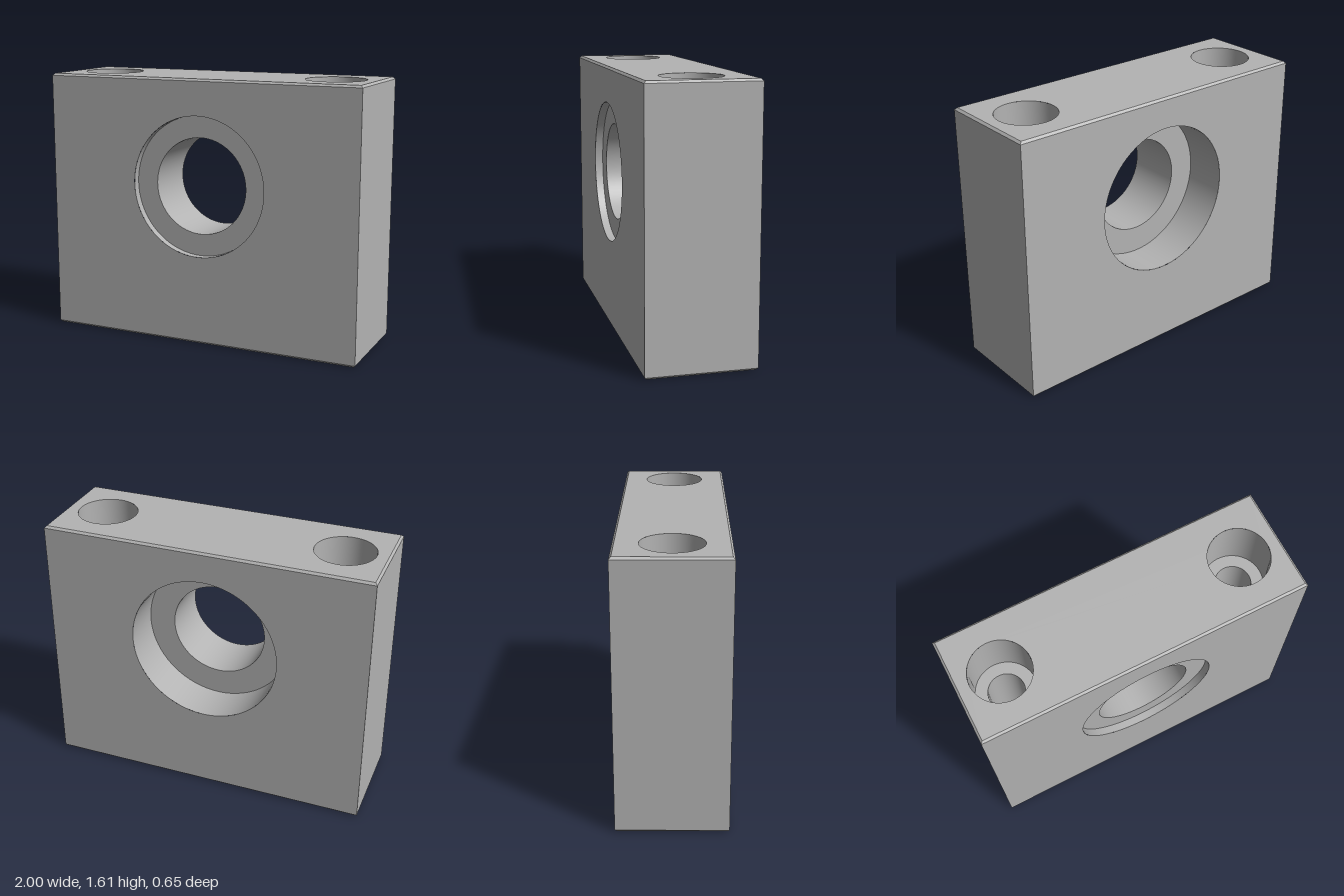
import * as THREE from 'three';

const W = 1, H = 1.613, D = 0.323;   // half width, height, half depth
const C = 0.013;                     // chamfer on top and bottom edges
const SEG = 72;
const BORE_Y = 0.97, BOLT_X = 0.74;

export function createModel() {
  const group = new THREE.Group();
  const steel = new THREE.MeshStandardMaterial({ color: 0xb3b3b3 });
  steel.name = 'grey steel';

  const add = (name, geometry, parent = group) => {
    const mesh = new THREE.Mesh(geometry, steel);
    mesh.name = name;
    parent.add(mesh);
    return mesh;
  };

  // Flat rectangular face with round holes given as [x, y, radius]
  const face = (x, y0, y1, holes) => {
    const shape = new THREE.Shape([
      new THREE.Vector2(-x, y0), new THREE.Vector2(x, y0),
      new THREE.Vector2(x, y1), new THREE.Vector2(-x, y1),
    ]);
    for (const [hx, hy, r] of holes) {
      shape.holes.push(new THREE.Path().absarc(hx, hy, r, 0, Math.PI * 2, true));
    }
    return new THREE.ShapeGeometry(shape, SEG);
  };

  // Four-sided band between two rectangles, listed from bottom to top
  const band = (inset0, y0, inset1, y1, sides) => {
    const corner = (i, inset, y) => {
      const sx = [-1, 1, 1, -1][i % 4], sz = [1, 1, -1, -1][i % 4];
      return [sx * (W - inset), y, sz * (D - inset)];
    };
    const pos = [];
    for (const i of sides) {
      const a = corner(i, inset0, y0), b = corner(i + 1, inset0, y0);
      const c = corner(i + 1, inset1, y1), d = corner(i, inset1, y1);
      pos.push(...a, ...b, ...c, ...a, ...c, ...d);
    }
    const g = new THREE.BufferGeometry();
    g.setAttribute('position', new THREE.Float32BufferAttribute(pos, 3));
    g.computeVertexNormals();
    return g;
  };

  // Stepped hole: profile runs from the top end down, so the walls face inward
  const steppedHole = (name, profile) => {
    const hole = new THREE.Group();
    hole.name = name;
    for (let i = 0; i < profile.length - 1; i++) {
      const pts = [profile[i], profile[i + 1]].map(p => new THREE.Vector2(...p));
      const isStep = profile[i][1] === profile[i + 1][1];
      add(isStep ? 'shoulder' : 'wall', new THREE.LatheGeometry(pts, SEG), hole);
    }
    group.add(hole);
    return hole;
  };

  // Block faces
  const frontR = 0.426, backR = 0.456, boreR = 0.293;
  add('frontFace', face(W, C, H - C, [[0, BORE_Y, frontR]])).position.z = D;
  const back = add('backFace', face(W, C, H - C, [[0, BORE_Y, backR]]));
  back.position.z = -D;
  back.rotation.y = Math.PI;
  add('sideFaces', band(0, C, 0, H - C, [1, 3]));

  const boltR = 0.108, headR = 0.18;
  const boltHoles = r => [[-BOLT_X, 0, r], [BOLT_X, 0, r]];
  const top = add('topFace', face(W - C, C - D, D - C, boltHoles(headR)));
  top.position.y = H;
  top.rotation.x = -Math.PI / 2;
  add('bottomFace', face(W - C, C - D, D - C, boltHoles(boltR))).rotation.x = Math.PI / 2;

  // Chamfers
  add('bottomChamfer', band(C, 0, 0, C, [0, 1, 2, 3]));
  add('topChamfer', band(0, H - C, C, H, [0, 1, 2, 3]));

  // Main bore: shallow recess at the front, deep bearing seat at the back
  const bore = steppedHole('mainBore', [
    [frontR, D], [frontR, D - 0.048], [boreR, D - 0.048],
    [boreR, -D + 0.262], [backR, -D + 0.262], [backR, -D],
  ]);
  bore.position.y = BORE_Y;
  bore.rotation.x = Math.PI / 2;

  // Counterbored bolt holes
  for (const side of [-1, 1]) {
    const bolt = steppedHole(side > 0 ? 'leftBoltHole' : 'rightBoltHole', [
      [headR, H], [headR, H - 0.35], [boltR, H - 0.35], [boltR, 0],
    ]);
    bolt.position.x = side * BOLT_X;
  }

  return group;
}
